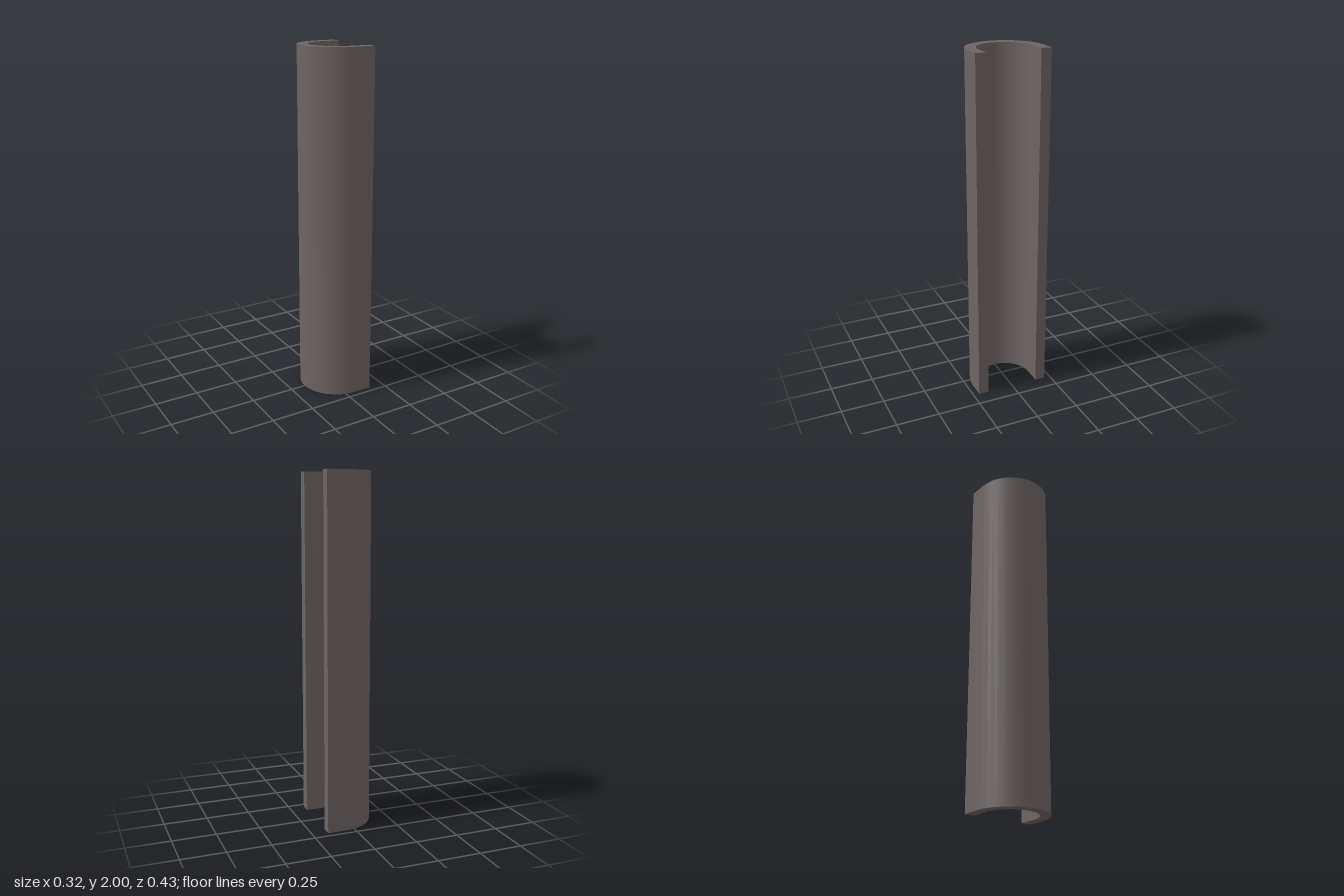
import * as THREE from 'three';
import { toCreasedNormals } from 'three/addons/utils/BufferGeometryUtils.js';

const HEIGHT = 2;
const OUTER = 0.215;   // outer radius of the bend
const INNER = 0.155;   // inner radius of the bend
const CENTRE = 0.054;  // x of the bend's axis
const LIP = 0.161;     // x where the straight lips end

export function createModel() {
  const group = new THREE.Group();
  group.name = 'channel';

  // U-shaped cross-section, open towards +x
  const section = new THREE.Shape();
  section.moveTo(LIP, OUTER);
  section.lineTo(CENTRE, OUTER);
  section.absarc(CENTRE, 0, OUTER, Math.PI / 2, Math.PI * 1.5, false);
  section.lineTo(LIP, -OUTER);
  section.lineTo(LIP, -INNER);
  section.lineTo(CENTRE, -INNER);
  section.absarc(CENTRE, 0, INNER, Math.PI * 1.5, Math.PI / 2, true);
  section.lineTo(LIP, INNER);
  section.closePath();

  // Upright extrusion: 16 segments per half circle, smooth walls, sharp rims
  const extruded = new THREE.ExtrudeGeometry(section, {
    depth: HEIGHT, bevelEnabled: false, curveSegments: 8,
  });
  extruded.rotateX(-Math.PI / 2);
  const geometry = toCreasedNormals(extruded, Math.PI / 5);

  const wall = new THREE.Mesh(geometry, new THREE.MeshStandardMaterial({ color: 0x6e6464 }));
  wall.name = 'channelWall';
  group.add(wall);
  return group;
}
